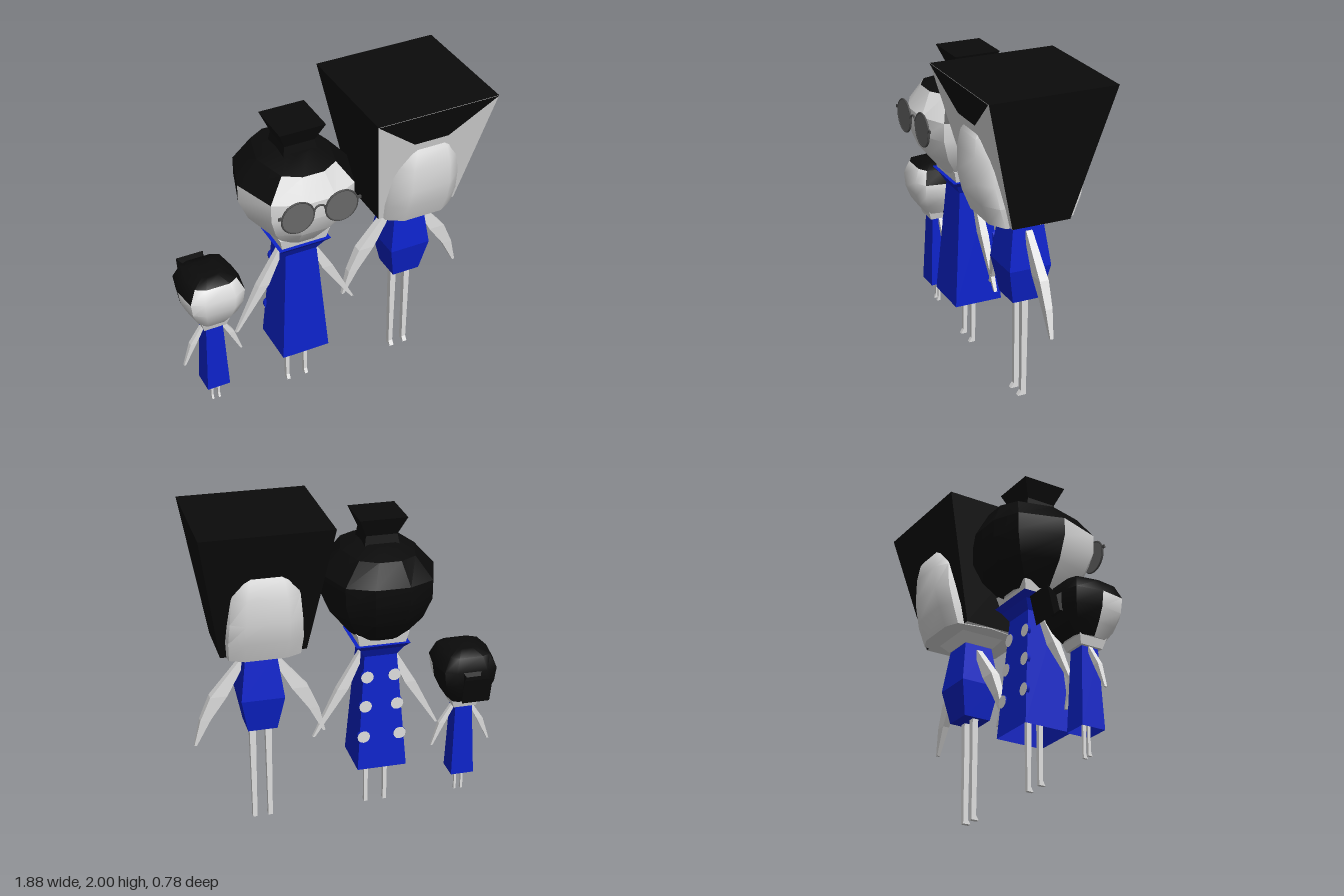
import * as THREE from 'three';
import { toCreasedNormals } from 'three/addons/utils/BufferGeometryUtils.js';

const mat = (name, color, side = THREE.FrontSide) => {
  const m = new THREE.MeshStandardMaterial({ color, side });
  m.name = name;
  return m;
};

// Cross-section outlines, running from the front towards +x
const SQUARE = [[-1, 1], [1, 1], [1, -1], [-1, -1]];
const ROUND = [[-0.3, 1], [0.3, 1], [0.75, 0.78], [1, 0], [0.75, -0.78],
  [0.3, -1], [-0.3, -1], [-0.75, -0.78], [-1, 0], [-0.75, 0.78]];
const BOXY = [[-0.5, 1], [0.5, 1], [0.88, 0.78], [1, 0], [0.85, -0.85],
  [0.5, -1], [-0.5, -1], [-0.85, -0.85], [-1, 0], [-0.88, 0.78]];

// Loft through levels [y, halfX, halfZ, centreX, centreZ] from bottom to top.
// pick(side, level) returns a material slot; level -1 is the bottom, levels.length - 1 the top.
function loft(levels, outline, { pick = () => 0, crease = 0, openBottom = false } = {}) {
  const n = outline.length, slots = [[], []];
  const pt = (l, i) => {
    const [y, hx, hz, cx = 0, cz = 0] = levels[l], [ox, oz] = outline[i % n];
    return [cx + ox * hx, y, cz + oz * hz];
  };
  const tri = (slot, ...p) => p.forEach(v => slots[slot].push(...v));
  const top = levels.length - 1;
  for (let l = 0; l < top; l++) for (let i = 0; i < n; i++) {
    const s = pick(i, l), a = pt(l, i), b = pt(l, i + 1), c = pt(l + 1, i + 1), d = pt(l + 1, i);
    tri(s, a, b, c);
    tri(s, a, c, d);
  }
  for (let i = 1; i < n - 1; i++) {
    if (!openBottom) tri(pick(i, -1), pt(0, 0), pt(0, i + 1), pt(0, i));
    tri(pick(i, top), pt(top, 0), pt(top, i), pt(top, i + 1));
  }
  const g = new THREE.BufferGeometry();
  g.setAttribute('position', new THREE.Float32BufferAttribute([...slots[0], ...slots[1]], 3));
  g.addGroup(0, slots[0].length / 3, 0);
  if (slots[1].length) g.addGroup(slots[0].length / 3, slots[1].length / 3, 1);
  g.computeVertexNormals();
  return crease ? toCreasedNormals(g, crease) : g;
}

export function createModel() {
  const skin = mat('paleSkin', 0xdedede);
  const hair = mat('blackHair', 0x0b0b0b);
  const blue = mat('blueDress', 0x0c22c8, THREE.DoubleSide);
  const lens = mat('greyLens', 0x686868);
  const frame = mat('darkFrame', 0x4c4c4c);

  const add = (parent, name, geo, material) => {
    const m = new THREE.Mesh(geo, material);
    m.name = name;
    parent.add(m);
    return m;
  };
  const figure = (name, x) => {
    const g = new THREE.Group();
    g.name = name;
    g.position.x = x;
    return g;
  };
  // Mirrored arms and legs; arm rows are [y, halfX, halfZ, offset]
  const limbs = (f, arm, legX, legTop, legBottom, r, z = 0) => {
    for (const [s, side] of [[1, 'left'], [-1, 'right']]) {
      add(f, side + 'Arm', loft(arm.map(([y, hx, hz, o]) => [y, hx, hz, s * o, z]), SQUARE), skin);
      add(f, side + 'Leg', loft([
        [legBottom, r * 0.7, r * 1.3, s * legX, z + r * 0.5],
        [legBottom + 0.03, r * 0.7, r * 0.8, s * legX, z],
        [legTop, r, r, s * legX, z]], SQUARE), skin);
    }
  };
  // Face slots on a ten-sided head: the front stays skin, hair covers crown and back
  const faceRule = (brow, crown) => (i, l) => {
    if (l < 0) return 0;
    const front = i === 0 || i === 1 || i === 9, cheek = i === 2 || i === 8;
    return (front && l < crown) || (cheek && l < brow) ? 0 : 1;
  };

  // Tall figure with the flared block of hair
  const tall = figure('tallFigure', 0.535);
  add(tall, 'hairBlock', loft([[1.2, 0.257, 0.18], [2, 0.387, 0.387]], SQUARE,
    { pick: (i, l) => (l < 0 || (l === 0 && i === 0) ? 0 : 1) }), [skin, hair]);
  add(tall, 'head', loft([[1.195, 0.25, 0.26], [1.32, 0.26, 0.31], [1.45, 0.25, 0.343],
    [1.6, 0.235, 0.343], [1.7, 0.2, 0.33], [1.77, 0.14, 0.29]], BOXY, { crease: 0.9 }), skin);
  const fringe = new THREE.ShapeGeometry(new THREE.Shape([[-0.387, 2], [-0.12, 1.782],
    [0.1, 1.782], [0.387, 2]].map(p => new THREE.Vector2(...p))));
  const fp = fringe.attributes.position;
  for (let i = 0; i < fp.count; i++) fp.setZ(i, 0.184 + 0.207 * (fp.getY(i) - 1.2) / 0.8);
  fringe.computeVertexNormals();
  add(tall, 'fringe', fringe, hair);
  add(tall, 'neck', loft([[1.14, 0.1, 0.1], [1.2, 0.15, 0.15]], SQUARE), skin);
  add(tall, 'tunic', loft([[0.65, 0.09, 0.09], [0.87, 0.132, 0.132], [1.15, 0.094, 0.094]], SQUARE), blue);
  limbs(tall, [[0.55, 0.008, 0.01, 0.4], [0.72, 0.032, 0.022, 0.335], [0.87, 0.052, 0.028, 0.25],
    [1.1, 0.02, 0.02, 0.09]], 0.049, 0.68, 0, 0.02);

  // Middle figure with bun and round glasses
  const middle = figure('middleFigure', -0.195);
  add(middle, 'head', loft([[1.195, 0.17, 0.17], [1.34, 0.29, 0.29], [1.475, 0.348, 0.345],
    [1.59, 0.35, 0.345], [1.73, 0.225, 0.275], [1.78, 0.11, 0.13]], ROUND,
  { pick: faceRule(3, 4), crease: 0.45 }), [skin, hair]);
  add(middle, 'bun', loft([[1.74, 0.11, 0.11], [1.83, 0.095, 0.095], [1.942, 0.143, 0.143]], SQUARE), hair);
  add(middle, 'neck', loft([[1.14, 0.14, 0.14], [1.23, 0.16, 0.16]], SQUARE), skin);
  add(middle, 'collar', loft([[1.06, 0.1, 0.1], [1.12, 0.135, 0.135], [1.155, 0.166, 0.166]], SQUARE), blue);
  add(middle, 'dress', loft([[0.32, 0.155, 0.155], [1.08, 0.1, 0.1]], SQUARE, { openBottom: true }), blue);
  limbs(middle, [[0.51, 0.008, 0.01, 0.395], [0.82, 0.035, 0.024, 0.215], [1.06, 0.018, 0.018, 0.09]],
    0.062, 0.6, 0, 0.016);

  // Scallops down both edges of the dress back
  for (const s of [-1, 1]) for (const y of [0.93, 0.74, 0.54]) {
    const half = 0.155 - 0.0724 * (y - 0.32);
    const disc = new THREE.CylinderGeometry(0.04, 0.04, 0.02, 12).rotateX(Math.PI / 2);
    add(middle, 'scallop', disc, [blue, blue, skin]).position.set(s * (half - 0.025), y, -half + 0.005);
  }

  // Glasses
  const glasses = new THREE.Group();
  glasses.name = 'glasses';
  glasses.position.set(0, 1.525, 0.355);
  middle.add(glasses);
  for (const s of [-1, 1]) {
    add(glasses, 'lens', new THREE.CylinderGeometry(0.098, 0.098, 0.006, 28).rotateX(Math.PI / 2), lens)
      .position.x = s * 0.137;
    add(glasses, 'rim', new THREE.TorusGeometry(0.1, 0.006, 6, 28), frame).position.x = s * 0.137;
    add(glasses, 'hinge', new THREE.BoxGeometry(0.024, 0.018, 0.01), frame).position.set(s * 0.246, 0.025, 0);
  }
  add(glasses, 'bridge', new THREE.TorusGeometry(0.035, 0.006, 6, 12, Math.PI), frame).position.y = 0.01;

  // Child with ponytail
  const child = figure('child', -0.746);
  const cz = -0.022;
  add(child, 'head', loft([[0.69, 0.1, 0.1, 0, cz], [0.76, 0.145, 0.15, 0, cz], [0.84, 0.182, 0.18, 0, cz],
    [0.93, 0.195, 0.187, 0, cz], [1.015, 0.15, 0.155, 0, cz], [1.042, 0.07, 0.08, 0, cz]], BOXY,
  { pick: faceRule(3, 4), crease: 0.9 }), [skin, hair]);
  const tail = add(child, 'ponytail', loft([[0, 0.065, 0.065], [0.05, 0.045, 0.045], [0.13, 0.088, 0.088]],
    SQUARE), hair);
  tail.position.set(0, 0.88, -0.175);
  tail.rotation.x = -Math.PI / 2 - 0.24;
  add(child, 'neck', loft([[0.64, 0.072, 0.072, 0, cz], [0.7, 0.09, 0.09, 0, cz]], SQUARE), skin);
  add(child, 'dress', loft([[0.16, 0.074, 0.074, 0, cz], [0.645, 0.054, 0.054, 0, cz]], SQUARE,
    { openBottom: true }), blue);
  limbs(child, [[0.355, 0.006, 0.008, 0.188], [0.51, 0.02, 0.015, 0.125], [0.64, 0.012, 0.012, 0.048]],
    0.022, 0.35, 0.012, 0.01, cz);

  const model = new THREE.Group();
  model.name = 'threeFigures';
  model.add(tall, middle, child);
  return model;
}
